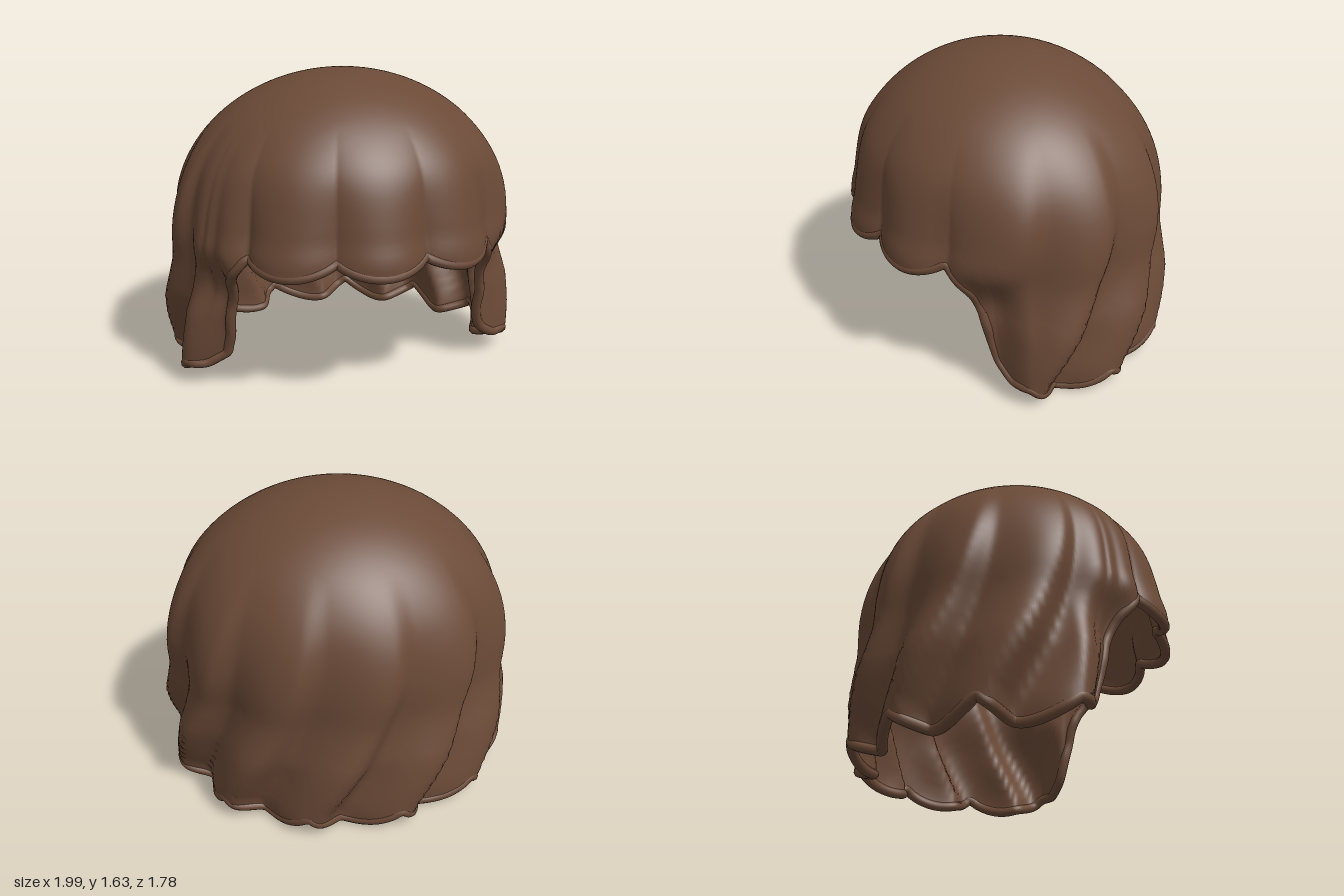
import * as THREE from 'three';

const COLS = 480, ROWS = 40, TOP = 1.63, DOME = 0.85, DEPTH = 0.91;
const { clamp, lerp, smoothstep } = THREE.MathUtils;
const fract = (v) => v - Math.floor(v);

// Piecewise linear lookup through [key, value] pairs
function lookup(table, k) {
  if (k <= table[0][0]) return table[0][1];
  for (let i = 1; i < table.length; i++) {
    const [k0, v0] = table[i - 1], [k1, v1] = table[i];
    if (k <= k1) return lerp(v0, v1, (k - k0) / (k1 - k0));
  }
  return table[table.length - 1][1];
}

// Hem height by angle from the front: short fringe, steep sides, long back
const HEM = [[45, 0.785], [54, 0.62], [58, 0.48], [61, 0.3], [64, 0.19], [69, 0.125], [75, 0.125]];
function hemHeight(a) {
  const b = Math.abs(a + 2);
  const scallop = Math.pow(Math.abs(Math.sin(Math.PI * (a - 13) / 30)), 0.8);
  const depth = b < 45 ? 0.068 : b > 75 ? 0.095 : 0;
  return lookup(HEM, b) - depth * scallop;
}

// Outer radius and fold depth by height
const FLARE = [[0.03, 0.965], [0.15, 0.98], [0.28, 0.995], [0.42, 0.998], [0.55, 0.97], [0.66, 0.95], [0.78, 0.955]];
const FOLD = [[0.05, 0.125], [0.3, 0.14], [0.5, 0.115], [0.66, 0.085], [0.9, 0.06], [1.15, 0.025], [1.4, 0]];

function radius(a, y) {
  const b = Math.abs(a + 2);
  const q = clamp((TOP - y) / DOME, 0, 1);
  const envelope = y > 0.78 ? 0.955 * Math.sqrt(1 - (1 - q) ** 2) : lookup(FLARE, y);
  // Locks are swept round the back and hang straight in the fringe
  const back = smoothstep(b, 40, 80);
  const sweep = 25 * back * Math.sin(Math.PI / 2 * clamp((y - 0.1) / 1.05, 0, 1));
  const f = (a - 13 - sweep) / 30;
  const p = fract(f - 0.37);
  const swept = p < 0.7
    ? Math.pow(0.5 - 0.5 * Math.cos(Math.PI * p / 0.7), 0.75)
    : 0.5 + 0.5 * Math.cos(Math.PI * (p - 0.7) / 0.3);
  const straight = Math.pow(Math.abs(Math.sin(Math.PI * f)), 0.8);
  // The front locks curl in at their edge, and the fringe flicks out at its tip
  const curl = 0.11 * smoothstep(b, 46, 56) * (1 - smoothstep(b, 61, 75)) * (1 - smoothstep(y, 0.5, 0.8));
  const flick = 0.028 * (1 - back) * smoothstep(y, 0.74, 0.9) * (1 - smoothstep(y, 0.95, 1.25));
  return envelope - curl - flick - lookup(FOLD, y) * (1 - lerp(straight, swept, back));
}

function hairPoint(a, y, scale) {
  const r = radius(a, y) * scale, t = THREE.MathUtils.degToRad(a);
  const drop = (1 - scale) * Math.max(0, (y - 0.78) / DOME);
  return new THREE.Vector3(r * Math.sin(t), y - drop, DEPTH * r * Math.cos(t));
}

const columnAngle = (i) => -180 + 360 * i / COLS;

// Shell from crown to hem; the lining faces inwards
function shell(scale, inward) {
  const pos = [], index = [];
  pos.push(...hairPoint(0, TOP, scale).toArray());
  for (let j = 1; j <= ROWS; j++) {
    const s = 1 - Math.cos(j / ROWS * Math.PI / 2);
    for (let i = 0; i < COLS; i++) {
      const a = columnAngle(i);
      pos.push(...hairPoint(a, lerp(TOP, hemHeight(a), s), scale).toArray());
    }
  }
  const tri = (a, b, c) => (inward ? index.push(a, c, b) : index.push(a, b, c));
  const at = (j, i) => 1 + (j - 1) * COLS + i % COLS;
  for (let i = 0; i < COLS; i++) {
    tri(0, at(1, i), at(1, i + 1));
    for (let j = 1; j < ROWS; j++) {
      tri(at(j, i), at(j + 1, i), at(j + 1, i + 1));
      tri(at(j, i), at(j + 1, i + 1), at(j, i + 1));
    }
  }
  const geo = new THREE.BufferGeometry();
  geo.setAttribute('position', new THREE.Float32BufferAttribute(pos, 3));
  geo.setIndex(index);
  geo.computeVertexNormals();
  return geo;
}

// Rounded bead following the whole hem
function hemBead() {
  const pts = [];
  for (let i = 0; i < COLS; i += 2) {
    const a = columnAngle(i);
    pts.push(hairPoint(a, hemHeight(a), 0.975));
  }
  const curve = new THREE.CatmullRomCurve3(pts, true);
  curve.arcLengthDivisions = 1500;
  return new THREE.TubeGeometry(curve, 600, 0.028, 10, true);
}

export function createModel() {
  const group = new THREE.Group();
  group.name = 'wig';
  const brown = new THREE.MeshStandardMaterial({ color: 0x6b4a37 });
  brown.name = 'brown hair';
  const add = (name, geo) => {
    const mesh = new THREE.Mesh(geo, brown);
    mesh.name = name;
    group.add(mesh);
  };
  add('hairOuter', shell(1, false));
  add('hairLining', shell(0.955, true));
  add('hemRoll', hemBead());

  // Centre on the floor
  const box = new THREE.Box3().setFromObject(group);
  const c = box.getCenter(new THREE.Vector3());
  for (const m of group.children) m.geometry.translate(-c.x, -box.min.y, -c.z);
  return group;
}
